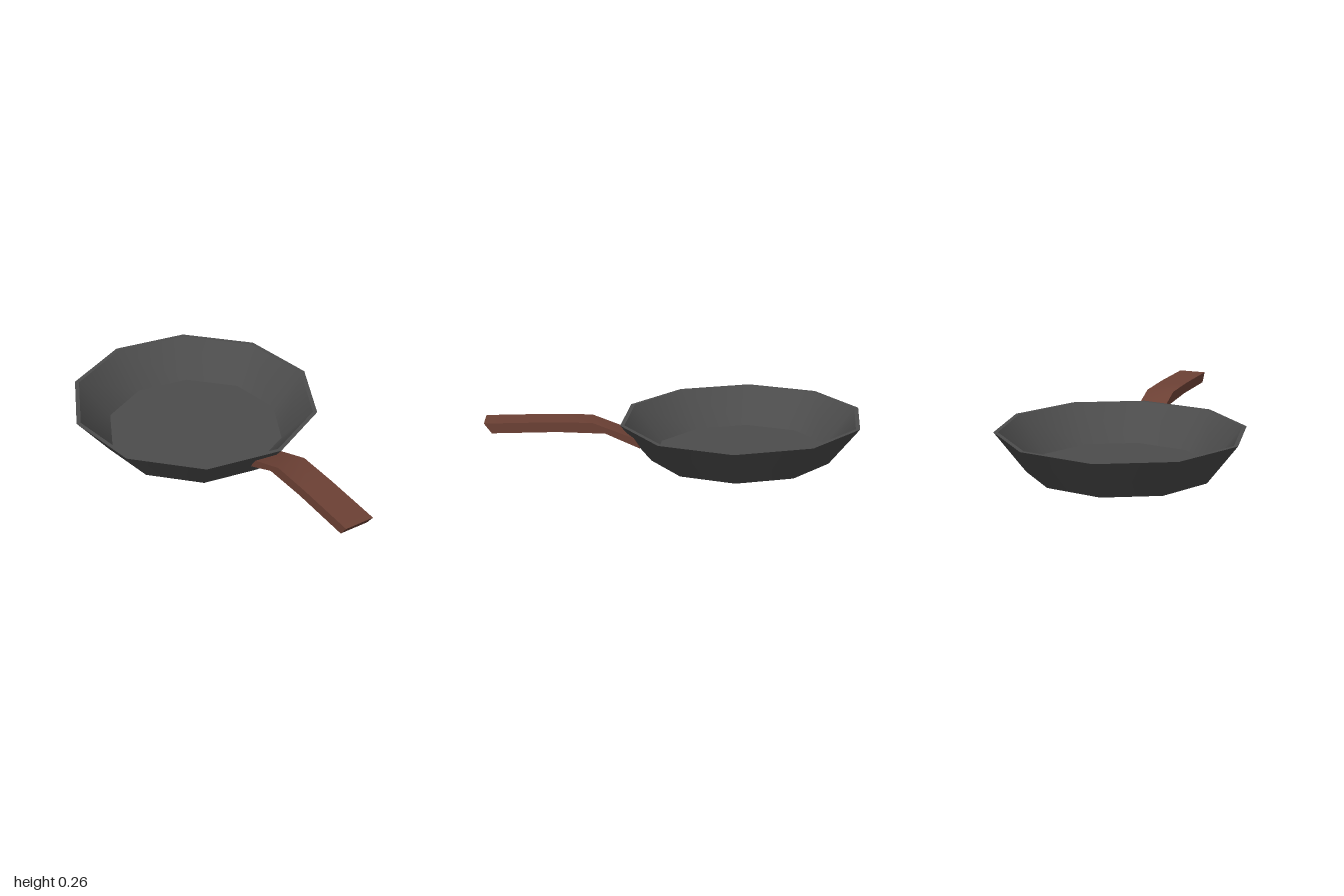
import * as THREE from 'three';
import { toCreasedNormals } from 'three/addons/utils/BufferGeometryUtils.js';

const iron = new THREE.MeshStandardMaterial({ name: 'darkIron', color: 0x4c4c4c });
const wood = new THREE.MeshStandardMaterial({ name: 'brownWood', color: 0x6d4135 });

// Pan profile [radius, height] from the underside up over the rim to the cooking floor
const profile = [[0, 0], [0.499, 0], [0.665, 0.216], [0.642, 0.216], [0.478, 0.015], [0, 0.015]];
const bands = ['underside', 'outerWall', 'rim', 'innerWall', 'cookingFloor'];

// Ten-sided pan; one lathe per band keeps the sides smooth and the bends sharp
function makePan() {
  const pan = new THREE.Group();
  pan.name = 'pan';
  bands.forEach((name, i) => {
    const points = [profile[i], profile[i + 1]].map(([r, y]) => new THREE.Vector2(r, y));
    const geometry = new THREE.LatheGeometry(points, 10);
    geometry.scale(1.051, 1, 1);
    const band = new THREE.Mesh(geometry, iron);
    band.name = name;
    pan.add(band);
  });
  pan.position.x = -0.335;
  return pan;
}

// Bent wooden handle: side outline extruded across its width
function makeHandle() {
  const outline = [
    [-0.086, 0.095], [0.102, 0.185], [0.362, 0.2], [0.715, 0.2],
    [0.755, 0.256], [0.407, 0.256], [0.172, 0.248], [-0.053, 0.155],
  ].map(([s, y]) => new THREE.Vector2(s, y));
  const geometry = new THREE.ExtrudeGeometry(new THREE.Shape(outline), { depth: 0.16, bevelEnabled: false });
  const handle = new THREE.Mesh(toCreasedNormals(geometry, 0.55), wood);
  handle.name = 'handle';
  handle.rotation.y = THREE.MathUtils.degToRad(-27.8);
  handle.position.set(0.33, 0, 0.16);
  return handle;
}

export function createModel() {
  const model = new THREE.Group();
  model.name = 'fryingPan';
  model.add(makePan(), makeHandle());
  return model;
}
